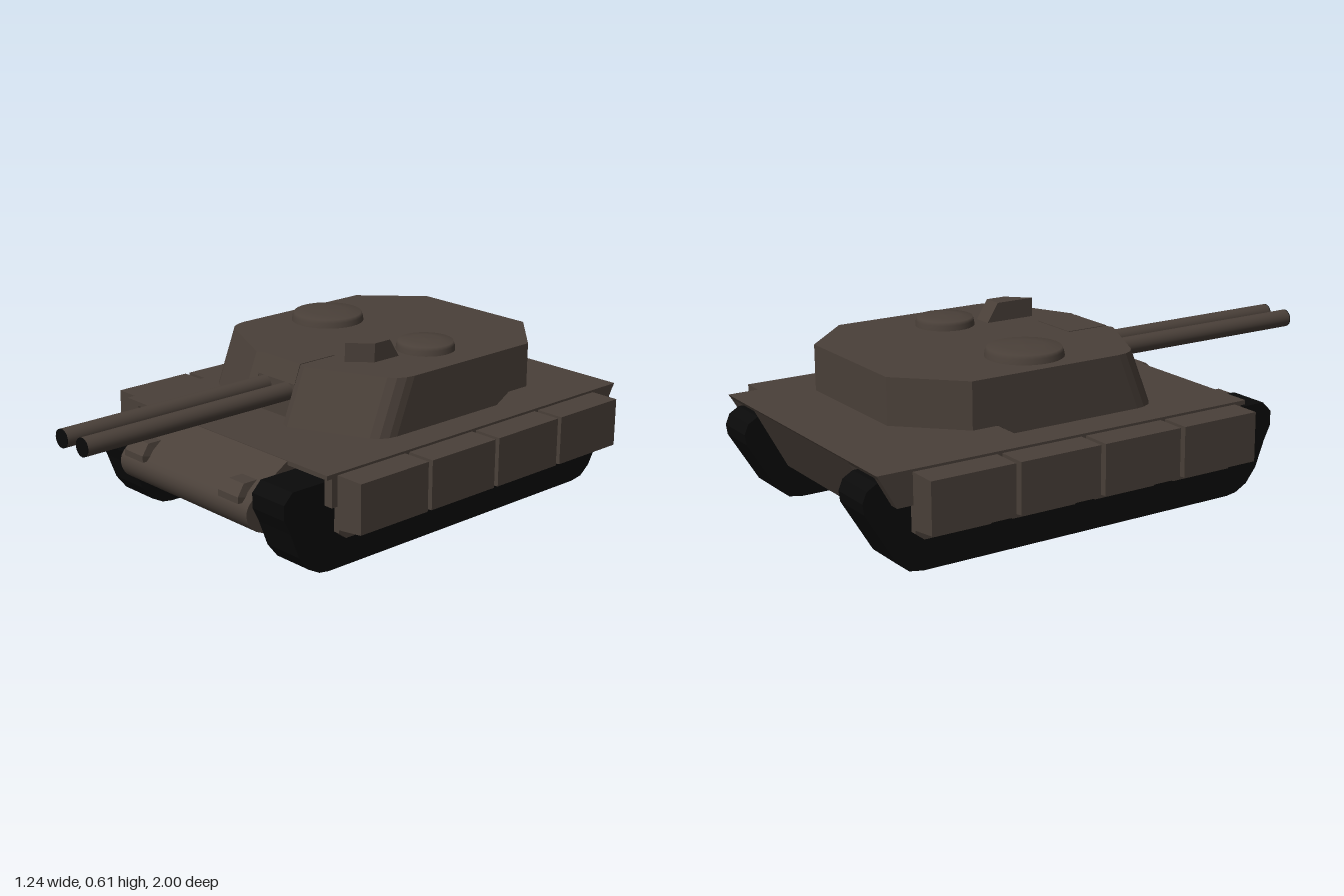
import * as THREE from 'three';
import { toCreasedNormals } from 'three/addons/utils/BufferGeometryUtils.js';

const armour = new THREE.MeshStandardMaterial({ color: 0x4a4039, side: THREE.DoubleSide });
armour.name = 'brown armour';
const rubber = new THREE.MeshStandardMaterial({ color: 0x0a0a0a });
rubber.name = 'black track';

const shapeOf = (pts) => new THREE.Shape(pts.map(([a, b]) => new THREE.Vector2(a, b)));

// Side profile of [z, y] points, extruded across x from x0 to x1
function sideExtrude(pts, x0, x1) {
  const geo = new THREE.ExtrudeGeometry(shapeOf(pts.map(([z, y]) => [-z, y])), { depth: x1 - x0, bevelEnabled: false });
  return geo.rotateY(Math.PI / 2).translate(x0, 0, 0);
}

// Plan outline of [x, z] points, extruded upward from y0 to y1
function planExtrude(pts, y0, y1) {
  const geo = new THREE.ExtrudeGeometry(shapeOf(pts.map(([x, z]) => [x, -z])), { depth: y1 - y0, bevelEnabled: false });
  return geo.rotateX(-Math.PI / 2).translate(0, y0, 0);
}

// Move every vertex by a rule
function bend(geo, rule) {
  const p = geo.attributes.position;
  const v = new THREE.Vector3();
  for (let i = 0; i < p.count; i++) {
    v.fromBufferAttribute(p, i);
    rule(v);
    p.setXYZ(i, v.x, v.y, v.z);
  }
  geo.computeVertexNormals();
  return geo;
}

// Mirror a half outline across x = 0
const mirrorOutline = (half) => [...half, ...half.map(([x, z]) => [-x, z]).reverse()];

export function createModel() {
  const model = new THREE.Group();
  model.name = 'tank';
  const add = (name, geo, mat = armour, parent = model) => {
    const mesh = new THREE.Mesh(geo, mat);
    mesh.name = name;
    parent.add(mesh);
    return mesh;
  };
  const box = (x0, x1, y0, y1, z0, z1) =>
    new THREE.BoxGeometry(x1 - x0, y1 - y0, z1 - z0).translate((x0 + x1) / 2, (y0 + y1) / 2, (z0 + z1) / 2);

  // Hull: deck plate, hollow tub with rounded nose, sloped rear plate
  add('deck', sideExtrude([[0.42, 0.34], [0.42, 0.325], [-0.96, 0.325], [-0.97, 0.34]], -0.515, 0.515));
  const nose = new THREE.CatmullRomCurve3([[0.55, 0.258], [0.585, 0.22], [0.588, 0.185], [0.565, 0.145], [0.51, 0.117]]
    .map(([z, y]) => new THREE.Vector3(0, y, z))).getPoints(12).map((p) => [p.z, p.y]);
  const front = [[0.42, 0.338], ...nose];
  const plate = new THREE.PlaneGeometry(0.66, 1, 1, front.length - 1);
  const pos = plate.attributes.position;
  for (let i = 0; i < pos.count; i++) {
    const [z, y] = front[Math.floor(i / 2)];
    pos.setXYZ(i, pos.getX(i), y, z);
  }
  add('glacis and nose', toCreasedNormals(plate, 0.5));
  add('rear plate', sideExtrude([[-0.968, 0.338], [-0.95, 0.338], [-0.83, 0.117], [-0.85, 0.117]], -0.33, 0.33));
  const wall = [...front, [-0.85, 0.117], [-0.968, 0.338]];

  for (const s of [1, -1]) {
    const side = s > 0 ? 'left' : 'right';
    const span = (a, b) => (s > 0 ? [a, b] : [-b, -a]);
    add(side + ' hull wall', sideExtrude(wall, ...span(0.325, 0.33)));
    add(side + ' skirt', sideExtrude([[0.4, 0.326], [0.4, 0.228], [-0.905, 0.228], [-0.96, 0.326]], ...span(0.482, 0.515)));

    // Track band
    add(side + ' track', sideExtrude([
      [0.53, 0.305], [0.565, 0.27], [0.565, 0.22], [0.54, 0.17], [0.505, 0.08], [0.465, 0.03], [0.42, 0.006], [0.38, 0],
      [-0.8, 0], [-0.85, 0.008], [-0.89, 0.04], [-0.995, 0.215], [-1, 0.25], [-0.985, 0.285], [-0.95, 0.305],
    ], ...span(0.33, 0.48)), rubber);

    // Side boxes with lower flaps
    for (let i = 0; i < 4; i++) {
      const z0 = -0.85 + i * 0.311;
      const z1 = z0 + 0.293;
      const panel = new THREE.Group();
      panel.name = `${side} side box ${i + 1}`;
      model.add(panel);
      add('box', bend(box(...span(0.513, 0.62), 0.15, 0.332, z0, z1), (v) => {
        if (v.y < 0.2 && Math.abs(v.x) > 0.6) v.y = 0.163;
      }), armour, panel);
      add('flap', sideExtrude([[z1, 0.23], [z1, 0.14], [z1 - 0.03, 0.117], [z0 + 0.03, 0.117], [z0, 0.14], [z0, 0.23]],
        ...span(0.5, 0.523)), armour, panel);
    }

    // Headlamp housing, narrower at the top
    add(side + ' headlamp', bend(sideExtrude([[0.595, 0.23], [0.595, 0.252], [0.56, 0.285], [0.5, 0.285], [0.5, 0.23]], -0.05, 0.05), (v) => {
      v.x = v.x * (1 - Math.max(0, v.y - 0.25) * 8) + s * 0.247;
    }));
  }

  // Turret: notched outline, raked front, undercut bustle
  const turret = new THREE.Group();
  turret.name = 'turret';
  model.add(turret);
  const frontHalf = [[0.09, 0.07], [0.09, 0.152], [0.12, 0.163], [0.385, 0.04], [0.41, 0.02], [0.425, -0.01], [0.43, -0.04]];
  const rake = (v) => {
    if (v.z > -0.1) v.z += (0.545 - v.y) * 0.4;
    else if (v.y < 0.36) v.z = -0.44;
  };
  add('turret body', bend(planExtrude(mirrorOutline([...frontHalf, [0.43, -0.59], [0.24, -0.78]]), 0.39, 0.545), rake), armour, turret);
  add('turret base', bend(planExtrude(mirrorOutline([...frontHalf, [0.43, -0.5]]), 0.355, 0.39), rake), armour, turret);
  add('mantlet', sideExtrude([[0.155, 0.547], [0.18, 0.48], [0.18, 0.357], [0, 0.357], [0, 0.547]], -0.092, 0.092), armour, turret);

  // Shallow round hatches
  for (const [name, x, z, r] of [['large hatch', -0.258, -0.288, 0.13], ['small hatch', 0.235, -0.287, 0.102]]) {
    const profile = [[r, 0.54], [r * 0.97, 0.562], [r * 0.93, 0.574], [r * 0.5, 0.578], [0, 0.58]]
      .map(([a, b]) => new THREE.Vector2(a, b));
    add(name, new THREE.LatheGeometry(profile, 32).translate(x, 0, z), armour, turret);
  }

  // Roof sight with slanted front and sloped back
  add('roof sight', bend(planExtrude([[0.168, 0.025], [0.238, -0.045], [0.238, -0.16], [0.168, -0.16]], 0.54, 0.61), (v) => {
    if (v.y > 0.6 && v.z < -0.1) v.z = -0.115;
  }), armour, turret);

  // Twin guns with dark muzzles
  for (const x of [-0.055, 0.053]) {
    const gun = new THREE.Group();
    gun.name = x < 0 ? 'right gun' : 'left gun';
    gun.position.set(x, 0.45, 0);
    turret.add(gun);
    add('barrel', new THREE.CylinderGeometry(0.031, 0.031, 0.9, 24).rotateX(Math.PI / 2).translate(0, 0, 0.547), armour, gun);
    add('muzzle', new THREE.CylinderGeometry(0.031, 0.031, 0.003, 24).rotateX(Math.PI / 2).translate(0, 0, 0.9985), rubber, gun);
  }
  return model;
}
